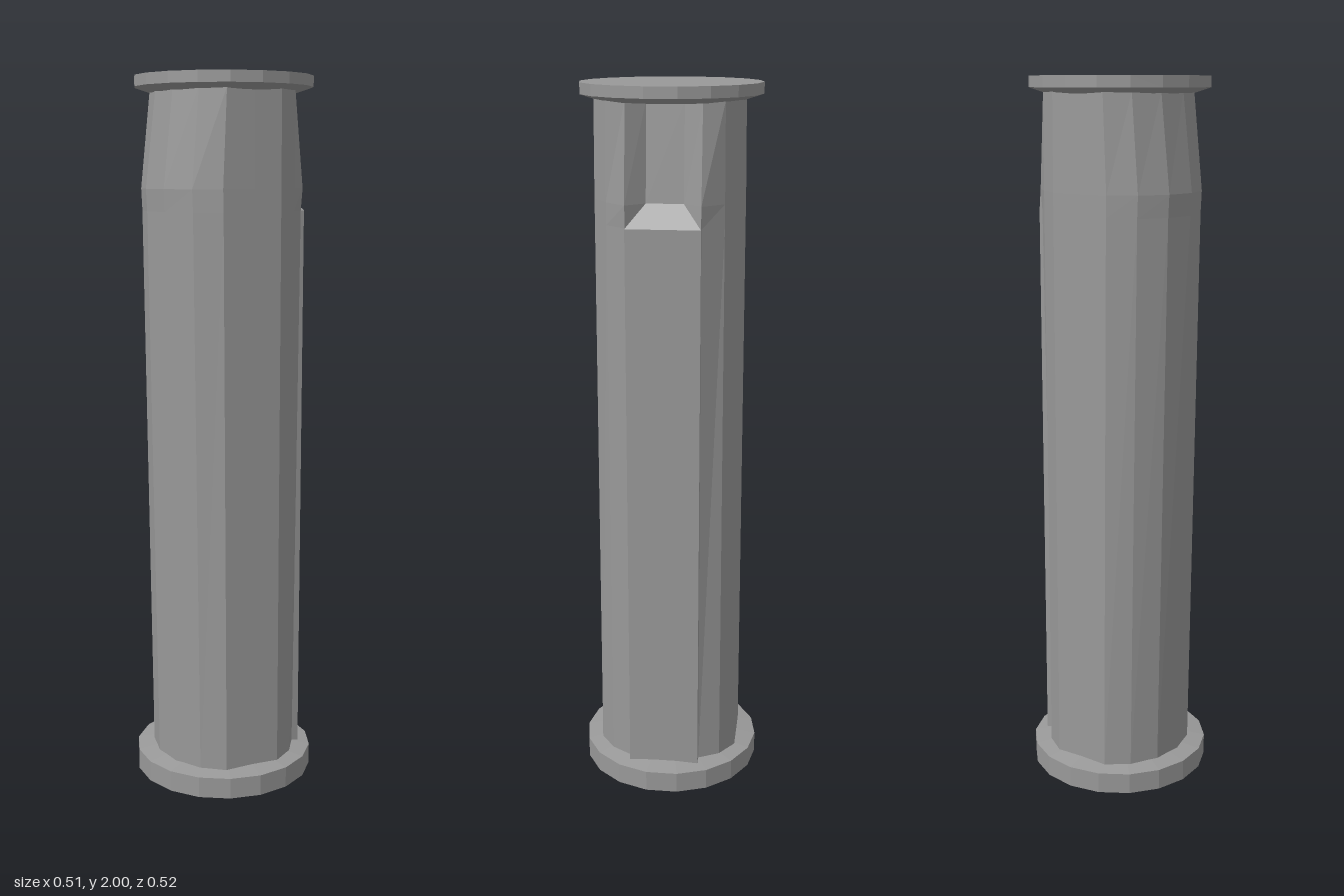
import * as THREE from 'three';

const SIDES = 18;

export function createModel() {
  const group = new THREE.Group();
  const material = new THREE.MeshStandardMaterial({ color: 0x999999, flatShading: true });

  function add(name, geometry) {
    const mesh = new THREE.Mesh(geometry, material);
    mesh.name = name;
    group.add(mesh);
  }

  // Faceted disc turned from [radius, height] pairs, bottom to top
  function disc(name, profile) {
    add(name, new THREE.LatheGeometry(profile.map(([r, y]) => new THREE.Vector2(r, y)), SIDES));
  }

  disc('baseCollar', [[0, 0], [0.258, 0], [0.258, 0.06], [0.2, 0.07], [0, 0.07]]);
  disc('topCap', [[0, 1.955], [0.2, 1.955], [0.246, 1.97], [0.246, 2], [0, 2]]);

  // Shaft cross-section: round facets, then the four corners of the side strip
  const angles = [47, 67, 90, 113, 134, 157, 180, 203, 226, 247, 270, 293, 313];
  function ring({ y, bulge, depth, strip }) {
    const round = angles.map((deg) => {
      const a = THREE.MathUtils.degToRad(deg);
      // The front and back facets stay flat
      const r = deg % 180 === 90 ? 0.19 : 0.206;
      const x = r * Math.cos(a);
      return new THREE.Vector3(x < 0 ? x * bulge : x, y, -r * Math.sin(a) * depth);
    });
    return round.concat(strip.map(([x, z]) => new THREE.Vector3(x, y, z)));
  }

  // The strip stands proud of the shaft, then drops into a slot below the cap
  const rings = [
    { y: 0.06, bulge: 1, depth: 1.06, strip: [[0.18, 0.1], [0.2, 0.1], [0.2, -0.1], [0.175, -0.1]] },
    { y: 1.64, bulge: 1.1, depth: 1.04, strip: [[0.19, 0.1], [0.2, 0.1], [0.2, -0.1], [0.19, -0.1]] },
    { y: 1.7, bulge: 1.115, depth: 1.04, strip: [[0.195, 0.1], [0.15, 0.05], [0.15, -0.05], [0.195, -0.1]] },
    { y: 1.96, bulge: 0.97, depth: 1.03, strip: [[0.17, 0.1], [0.13, 0.05], [0.13, -0.05], [0.17, -0.1]] },
  ].map(ring);

  const points = [];
  for (let k = 0; k < rings.length - 1; k++) {
    const low = rings[k], high = rings[k + 1], n = low.length;
    for (let i = 0; i < n; i++) {
      const j = (i + 1) % n;
      points.push(low[i], low[j], high[j], low[i], high[j], high[i]);
    }
  }
  const shaft = new THREE.BufferGeometry().setFromPoints(points);
  shaft.computeVertexNormals();
  add('shaft', shaft);

  return group;
}
